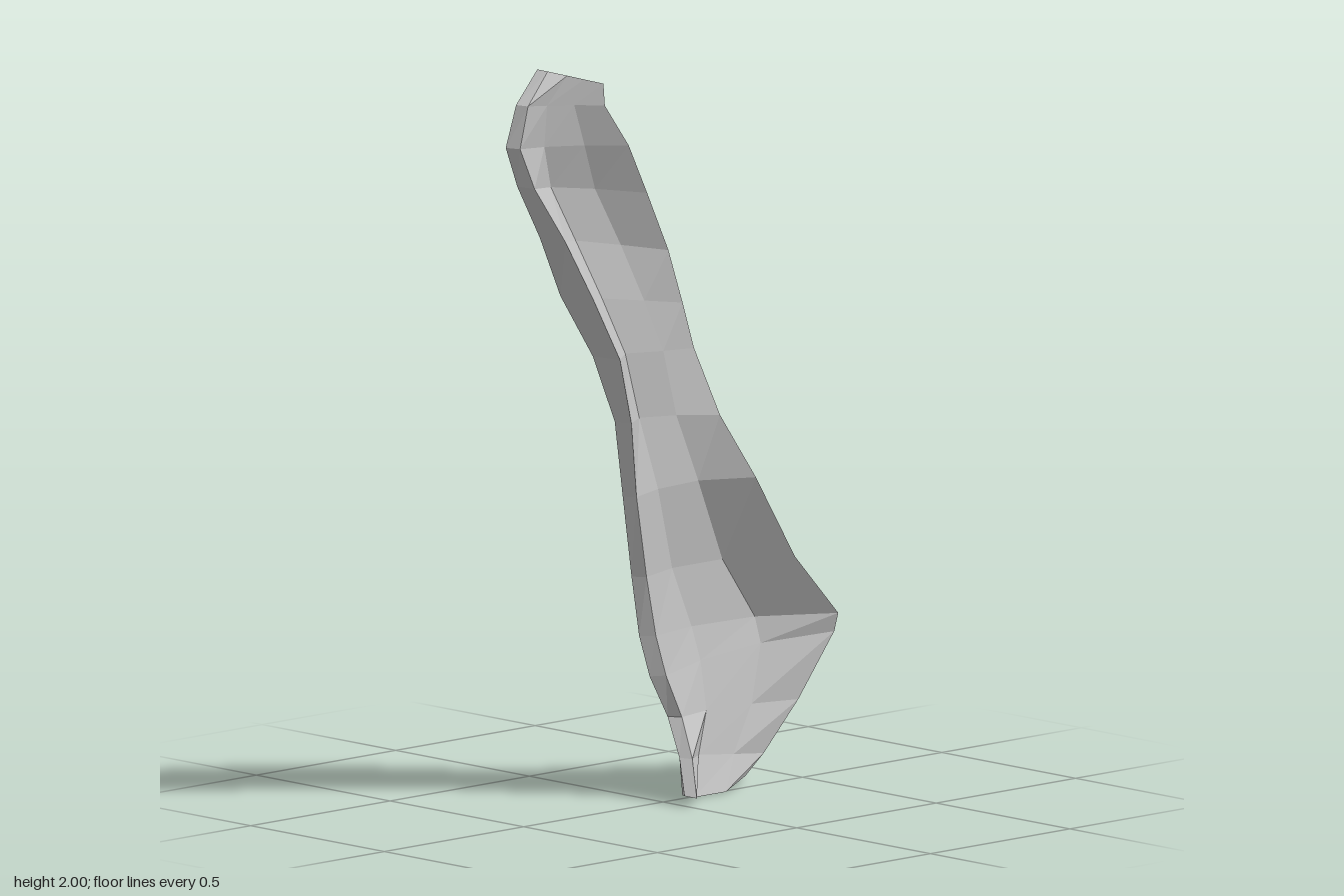
import * as THREE from 'three';

// Stations from top to bottom: front rim (x, y, z), back rim (x, y, z), x of the outer belly
const stations = [
  [0.06, 2.0, 0.48, 0.1, 1.95, 0.31, 0.045],
  [0.075, 1.92, 0.57, 0.095, 1.89, 0.3, 0.03],
  [0.07, 1.81, 0.6, 0.08, 1.77, 0.2, 0.005],
  [0.07, 1.7, 0.55, 0.055, 1.63, 0.11, -0.045],
  [0.08, 1.55, 0.45, 0.02, 1.46, 0, -0.09],
  [0.085, 1.38, 0.35, 0, 1.31, -0.07, -0.118],
  [0.08, 1.21, 0.25, -0.02, 1.18, -0.13, -0.1],
  [0.05, 1.03, 0.18, 0.015, 1, -0.19, -0.078],
  [0.005, 0.82, 0.12, 0.055, 0.83, -0.28, -0.068],
  [-0.015, 0.6, 0.07, 0.045, 0.6, -0.43, -0.1],
  [-0.018, 0.44, 0.04, 0.04, 0.43, -0.59, -0.102],
  [-0.01, 0.33, 0.01, 0.025, 0.38, -0.59, -0.09],
  [0.005, 0.22, -0.04, -0.005, 0.21, -0.49, -0.07],
  [0.06, 0.12, -0.03, -0.02, 0.08, -0.38, -0.055],
  [0.11, 0.03, 0, -0.015, 0.03, -0.31, -0.025],
];

// Ring of eight points: front outer, front rim, two inner, back rim, back outer, two outer
const along = [0, 0.05, 0.32, 0.68, 1, 0.98, 0.65, 0.3];

function createBlade() {
  const positions = [];
  const index = [];
  const n = along.length;
  const last = stations.length - 1;

  stations.forEach(([fx, fy, fz, bx, by, bz, belly], i) => {
    // The wall swells around the upper middle of the blade
    const swell = 0.075 * Math.exp(-(((fy - 1.36) / 0.25) ** 2));
    const hollow = belly + 0.04 + swell;
    const xs = [fx - 0.03 - swell, fx, hollow, hollow, bx, bx - 0.03, belly, belly];
    along.forEach((t, j) => {
      // The lowest edge sags into a shallow curve
      const sag = i === last ? 0.03 * Math.sin(Math.PI * t) : 0;
      positions.push(xs[j], THREE.MathUtils.lerp(fy, by, t) - sag, THREE.MathUtils.lerp(fz, bz, t));
    });
  });

  const quad = (a, b, c, d) => index.push(a, b, d, b, c, d);

  // Walls between neighbouring stations
  for (let i = 0; i < last; i++) {
    for (let j = 0; j < n; j++) {
      const k = (j + 1) % n;
      quad(i * n + j, (i + 1) * n + j, (i + 1) * n + k, i * n + k);
    }
  }

  // End caps as strips across the thickness
  const bottom = last * n;
  for (let s = 0; s < 3; s++) {
    const [o1, o2, i1, i2] = [(n - s) % n, n - s - 1, s + 1, s + 2];
    quad(o1, i1, i2, o2);
    quad(bottom + o1, bottom + o2, bottom + i2, bottom + i1);
  }

  const geometry = new THREE.BufferGeometry();
  geometry.setAttribute('position', new THREE.Float32BufferAttribute(positions, 3));
  geometry.setIndex(index);
  const faceted = geometry.toNonIndexed();
  faceted.computeVertexNormals();
  return faceted;
}

export function createModel() {
  const group = new THREE.Group();
  group.name = 'curvedFragment';
  const paleGrey = new THREE.MeshStandardMaterial({ color: 0xc4c4c4, flatShading: true });
  paleGrey.name = 'paleGrey';
  const blade = new THREE.Mesh(createBlade(), paleGrey);
  blade.name = 'twistedBlade';
  group.add(blade);
  return group;
}
